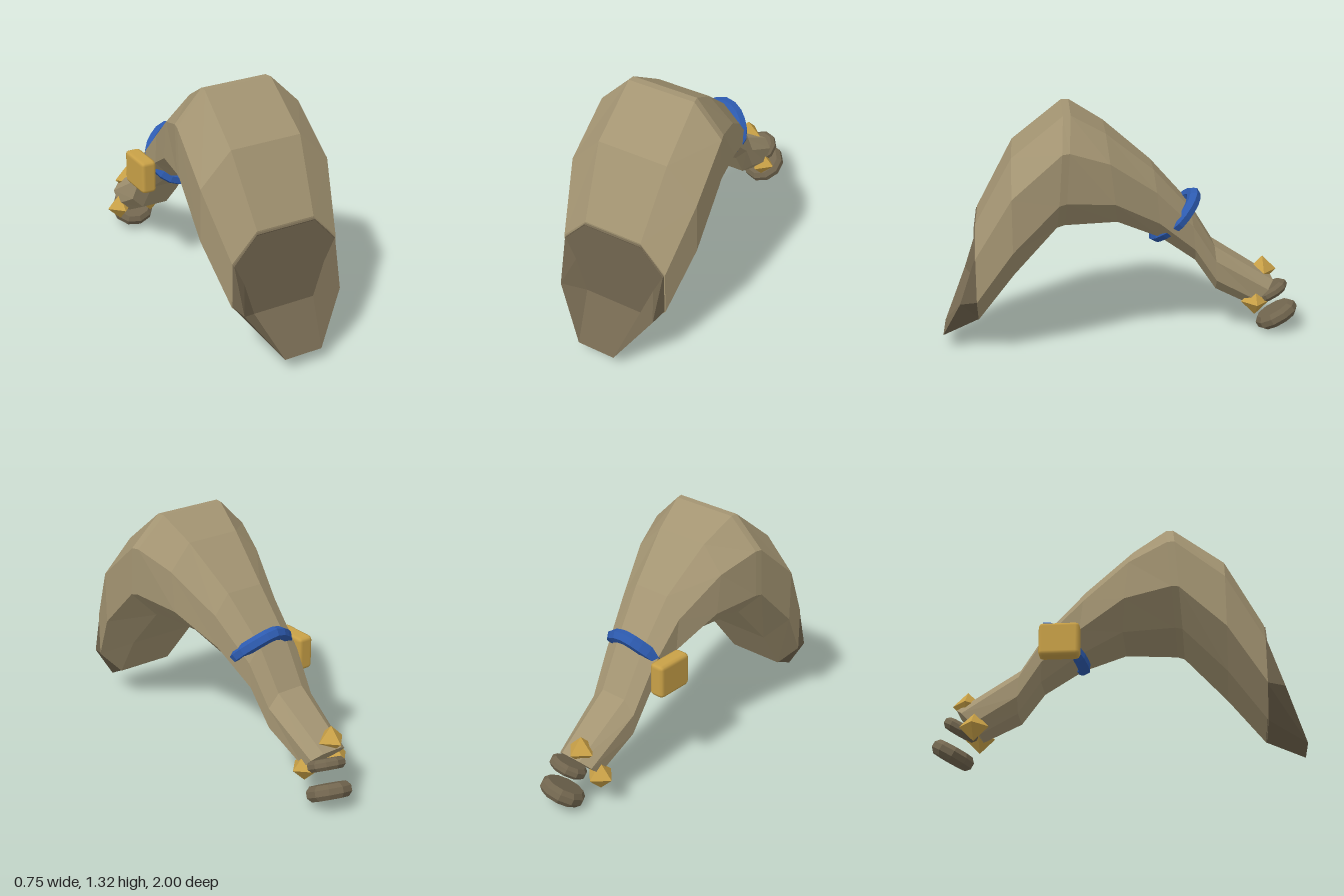
import * as THREE from 'three';
import { RoundedBoxGeometry } from 'three/addons/geometries/RoundedBoxGeometry.js';

const paint = (name, color) => {
  const m = new THREE.MeshStandardMaterial({ color });
  m.name = name;
  return m;
};

// Gives every face its own normal
function faceted(geometry) {
  const g = geometry.index ? geometry.toNonIndexed() : geometry;
  g.computeVertexNormals();
  return g;
}

// Skins a row of rings (front to back, counterclockwise from the front) and closes both ends
function loft(rings) {
  const pos = [];
  const tri = (...pts) => pts.forEach((p) => pos.push(...p));
  const n = rings[0].length;
  for (let k = 0; k + 1 < rings.length; k++) {
    for (let i = 0; i < n; i++) {
      const j = (i + 1) % n;
      const [a, b, c, d] = [rings[k][i], rings[k][j], rings[k + 1][j], rings[k + 1][i]];
      tri(a, d, b);
      tri(b, d, c);
    }
  }
  const first = rings[0], last = rings[rings.length - 1];
  for (let i = 1; i < n - 1; i++) {
    tri(first[0], first[i], first[i + 1]);
    tri(last[0], last[i + 1], last[i]);
  }
  const g = new THREE.BufferGeometry();
  g.setAttribute('position', new THREE.Float32BufferAttribute(pos, 3));
  g.computeVertexNormals();
  return g;
}

// Mirrors the right-hand half of a ring, listed from bottom to top
const mirrorRing = (half) => [...half, ...half.slice().reverse().map(([x, y, z]) => [-x, y, z])];

// Eight-sided cross-section between a top and a bottom point
function section([topZ, topY, bottomZ, bottomY, halfWidth, cx]) {
  const at = (side, t) => [side * halfWidth, bottomY + (topY - bottomY) * t, bottomZ + (topZ - bottomZ) * t];
  const ring = mirrorRing([at(0.54, 0), at(1, 0.28), at(1, 0.73), at(0.54, 1)]);
  return ring.map(([x, y, z]) => [x + cx, y, z]);
}

export function createModel() {
  const model = new THREE.Group();
  const tan = paint('tan', 0xa39472);
  const brown = paint('dark brown', 0x72664f);
  const gold = paint('gold', 0xc9a147);
  const blue = paint('blue', 0x2d5bb0);

  const add = (name, geometry, material, position = [0, 0, 0]) => {
    const mesh = new THREE.Mesh(geometry, material);
    mesh.name = name;
    mesh.position.set(...position);
    model.add(mesh);
    return mesh;
  };

  // Bent body narrowing into the handle: top z, top y, bottom z, bottom y, half width, centre x
  const sections = [
    [0.8, 0.74, 0.8, 0.19, 0.31, 0],
    [0.6, 1.11, 0.6, 0.46, 0.377, 0],
    [0.325, 1.33, 0.365, 0.72, 0.362, 0],
    [0.285, 1.33, 0.325, 0.73, 0.352, -0.003],
    [0.1, 1.22, 0.04, 0.73, 0.287, -0.005],
    [-0.16, 1.0, -0.2, 0.615, 0.2, -0.02],
    [-0.37, 0.76, -0.4, 0.46, 0.162, -0.05],
    [-0.51, 0.53, -0.52, 0.28, 0.145, -0.06],
    [-0.85, 0.31, -0.72, 0.17, 0.115, -0.07],
  ];
  add('body', loft(sections.map(section)), tan);

  // Scooped lip: mouth, rim and the seam with the body
  const mouth = mirrorRing([[0.18, 0.27, 0.806], [0.24, 0.46, 0.806], [0.3, 0.58, 0.806], [0.17, 0.72, 0.806]]);
  const rim = mirrorRing([[0.11, 0.08, 1], [0.288, 0.33, 0.89], [0.302, 0.58, 0.808], [0.172, 0.725, 0.808]]);
  const seam = mirrorRing([[0.165, 0.195, 0.795], [0.305, 0.345, 0.795], [0.305, 0.588, 0.795], [0.165, 0.735, 0.795]]);
  add('lip', loft([mouth, rim, seam]), brown);

  // Two bevelled discs at the end of the handle
  const disc = (name, radius, half, position) => {
    const profile = [[0, -half], [radius * 0.82, -half], [radius, -half * 0.4],
      [radius, half * 0.4], [radius * 0.82, half], [0, half]].map(([x, y]) => new THREE.Vector2(x, y));
    const mesh = add(name, faceted(new THREE.LatheGeometry(profile, 10)), brown, position);
    mesh.rotation.set(Math.PI / 6, 0, 0.15);
  };
  disc('collarDisc', 0.105, 0.03, [-0.04, 0.235, -0.84]);
  disc('endDisc', 0.125, 0.04, [-0.03, 0.095, -0.88]);

  // Pointed studs around the handle end
  const studs = { rightStud: [-0.18, 0.195, -0.745], leftStud: [0.025, 0.2, -0.745], topStud: [-0.1, 0.345, -0.8] };
  for (const [name, position] of Object.entries(studs)) {
    add(name, faceted(new THREE.OctahedronGeometry(0.08)), gold, position);
  }

  // Small case on the right side of the handle
  add('sideCase', new RoundedBoxGeometry(0.09, 0.19, 0.22, 1, 0.022), gold, [-0.26, 0.64, -0.29]);

  // Strap looped round the handle, partly sunk into it
  const loop = [[-0.04, 0.82, -0.395], [-0.12, 0.785, -0.37], [-0.185, 0.71, -0.31], [-0.14, 0.62, -0.21],
    [-0.04, 0.59, -0.18], [0.06, 0.62, -0.2], [0.125, 0.7, -0.29], [0.05, 0.79, -0.375]];
  const path = new THREE.CatmullRomCurve3(loop.map((p) => new THREE.Vector3(...p)), true);
  add('strap', faceted(new THREE.TubeGeometry(path, 20, 0.037, 6, true)), blue);

  return model;
}
